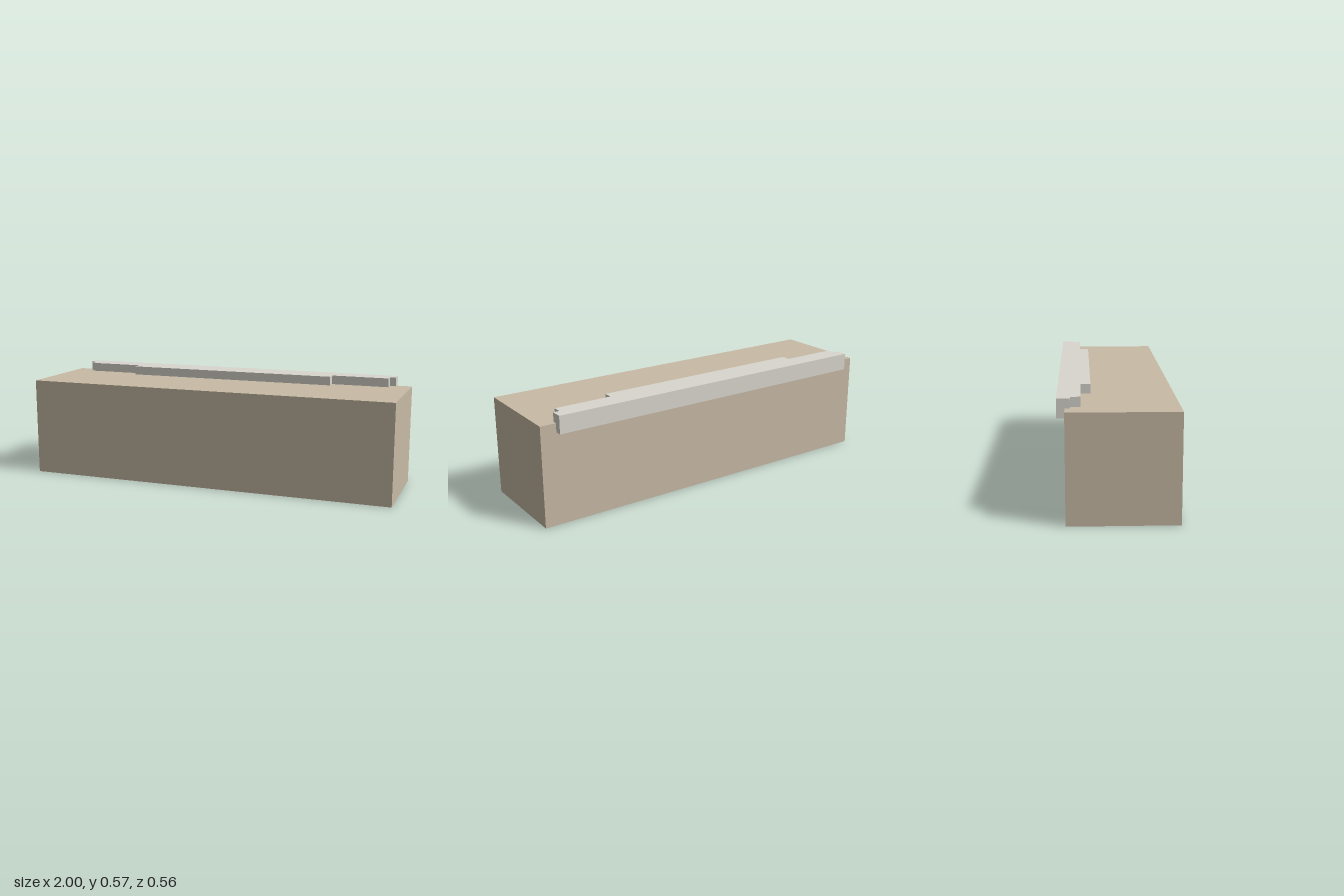
import * as THREE from 'three';

export function createModel() {
  const model = new THREE.Group();

  // Main block
  const bottom = 0, top = 0.523, back = -0.243, front = 0.28;
  const block = new THREE.Mesh(
    new THREE.BoxGeometry(2, top - bottom, front - back),
    new THREE.MeshStandardMaterial({ color: 0xc8baa6 })
  );
  block.name = 'mainBlock';
  block.position.set(0, (top + bottom) / 2, (front + back) / 2);
  model.add(block);

  // Stepped ledge along the rear top edge: half of its plan as [x, -z], then mirrored
  const half = [
    [0.917, 0.28], [0.917, 0.219], [0.885, 0.219],
    [0.885, 0.172], [0.58, 0.172], [0.58, 0.123],
  ];
  const mirrored = half.map(([x, y]) => [-x, y]).reverse();
  const plan = new THREE.Shape([...half, ...mirrored].map(([x, y]) => new THREE.Vector2(x, y)));
  const ledgeGeometry = new THREE.ExtrudeGeometry(plan, { depth: 0.092, bevelEnabled: false });
  ledgeGeometry.rotateX(-Math.PI / 2);
  const ledge = new THREE.Mesh(
    ledgeGeometry,
    new THREE.MeshStandardMaterial({ color: 0xd9d6ce })
  );
  ledge.name = 'steppedLedge';
  ledge.position.y = 0.478;
  model.add(ledge);

  return model;
}
